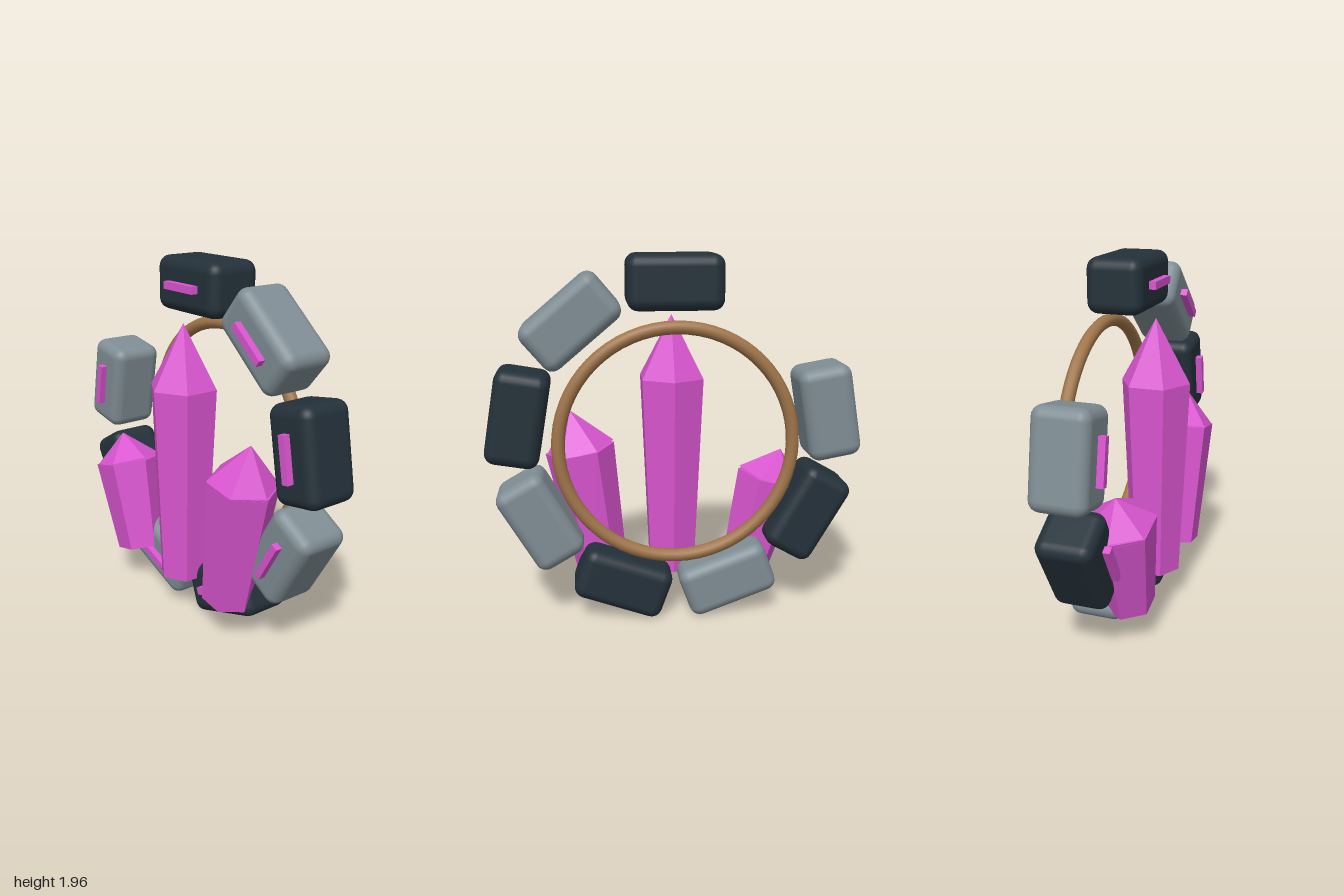
import * as THREE from 'three';
import { RoundedBoxGeometry } from 'three/addons/geometries/RoundedBoxGeometry.js';

const material = (name, color, flatShading = false) => {
  const m = new THREE.MeshStandardMaterial({ color, flatShading });
  m.name = name;
  return m;
};

export function createModel() {
  const crystalPink = material('crystal pink', 0xd955d0, true);
  const darkStone = material('dark stone', 0x24313a);
  const greyStone = material('grey stone', 0x7f8d94);
  const bronze = material('bronze', 0xa0754a);

  const model = new THREE.Group();
  model.name = 'crystalPortal';
  const add = (parent, name, geometry, mat, x, y, z) => {
    const mesh = new THREE.Mesh(geometry, mat);
    mesh.name = name;
    mesh.position.set(x, y, z);
    parent.add(mesh);
    return mesh;
  };

  // Broken circle of stones: nine places, the last one empty
  const stoneShape = new RoundedBoxGeometry(0.5, 0.285, 0.3, 3, 0.06);
  const runeShape = new THREE.BoxGeometry(0.24, 0.04, 0.045);
  for (let i = 0; i < 8; i++) {
    const a = (i * Math.PI * 2) / 9;
    const block = new THREE.Group();
    block.name = `archStone${i + 1}`;
    block.position.set(0.835 * Math.sin(a), 1 + 0.835 * Math.cos(a), 0);
    block.rotation.z = -a;
    add(block, 'stone', stoneShape, i % 2 ? greyStone : darkStone, 0, 0, -0.09);
    add(block, 'rune', runeShape, crystalPink, 0, 0, 0.075);
    model.add(block);
  }

  // Thin hoop behind the stones
  add(model, 'hoop', new THREE.TorusGeometry(0.615, 0.035, 12, 64), bronze, 0, 1, -0.22);

  // Six-sided crystals; tips lean a little more than their shafts
  const crystal = (name, x, height, tipHeight, lean, tipLean, turn) => {
    const group = new THREE.Group();
    group.name = name;
    group.position.set(x, 0.22, 0.06);
    const shaft = new THREE.CylinderGeometry(0.19, 0.14, height, 6).rotateY(turn);
    shaft.translate(0, height / 2, 0);
    add(group, 'shaft', shaft, crystalPink, 0, 0, 0).rotation.z = -lean;
    const tip = new THREE.ConeGeometry(0.19, tipHeight, 6).rotateY(turn);
    tip.translate(0, tipHeight / 2, 0);
    add(group, 'tip', tip, crystalPink, height * Math.sin(lean), height * Math.cos(lean), 0)
      .rotation.z = -tipLean;
    model.add(group);
  };
  crystal('middleCrystal', 0, 1.09, 0.34, 0, 0, 0);
  crystal('leftCrystal', 0.395, 0.71, 0.22, 0.157, 0.23, Math.PI / 6);
  crystal('rightCrystal', -0.435, 0.525, 0.165, -0.25, -0.34, Math.PI / 6);

  return model;
}
